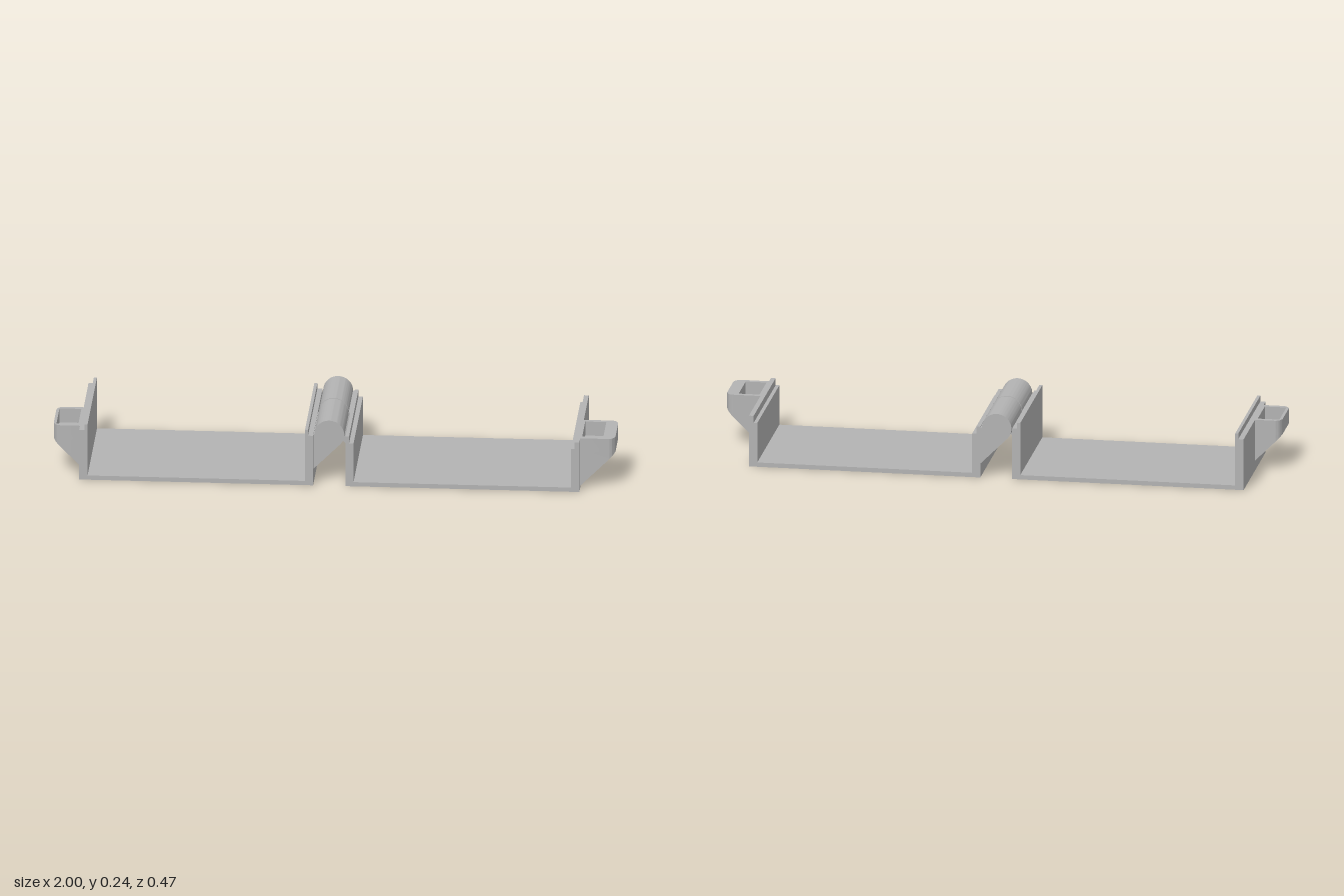
import * as THREE from 'three';
import { toCreasedNormals } from 'three/addons/utils/BufferGeometryUtils.js';

const grey = new THREE.MeshStandardMaterial({ color: 0xb3b3b3 });
grey.name = 'grey plastic';

const Z_BACK = -0.236, Z_FRONT = 0.238;
const shapeOf = (pts) => new THREE.Shape(pts.map(([x, y]) => new THREE.Vector2(x, y)));

function addMesh(parent, name, geometry) {
  const mesh = new THREE.Mesh(toCreasedNormals(geometry, 0.6), grey);
  mesh.name = name;
  parent.add(mesh);
}

// Extrude an x/y section between two z positions
function extrudeZ(shape, z0, z1) {
  const g = new THREE.ExtrudeGeometry(shape, { depth: z1 - z0, bevelEnabled: false, curveSegments: 24 });
  return g.translate(0, 0, z0);
}

// Extrude a plan (x, -z) upward; the underside follows bottom(x)
function extrudeUp(shape, bottom, top) {
  const g = new THREE.ExtrudeGeometry(shape, { depth: 1, bevelEnabled: false, curveSegments: 10 });
  g.rotateX(-Math.PI / 2);
  const p = g.attributes.position;
  for (let i = 0; i < p.count; i++) p.setY(i, p.getY(i) > 0.5 ? top : bottom(p.getX(i)));
  return g;
}

// Tray with two side walls; the rims are stepped at a and b
function traySection(x0, a0, i0, i1, a1, x1, outerTop, innerTop) {
  return shapeOf([
    [x0, 0], [x1, 0], [x1, outerTop], [a1, outerTop], [a1, innerTop], [i1, innerTop],
    [i1, 0.016], [i0, 0.016], [i0, innerTop], [a0, innerTop], [a0, outerTop], [x0, outerTop],
  ]);
}

// Barrel with a 45 degree web running down to the wall on the given side
const HX = -0.016, HY = 0.185, HR = 0.053;
function knuckleSection(side, wallX) {
  const k = HR * Math.SQRT1_2;
  const tangentX = HX - side * k, tangentY = HY - k;
  const s = new THREE.Shape();
  s.moveTo(wallX, HY);
  s.lineTo(HX + side * HR, HY);
  if (side < 0) s.absarc(HX, HY, HR, Math.PI, -Math.PI / 4, true);
  else s.absarc(HX, HY, HR, 0, Math.PI * 1.25, false);
  s.lineTo(wallX, tangentY - Math.abs(wallX - tangentX));
  s.closePath();
  return s;
}

// End lug: rounded plan, open pocket on top, sloped underside, screw hole
function addLug(parent, name, side, wallX, pocket, holeX) {
  const R = 0.025, zA = 0.01, zB = 0.196, end = side, FLOOR = 0.135;
  const plan = () => {
    const s = new THREE.Shape();
    s.moveTo(wallX, -zA);
    s.lineTo(end - side * R, -zA);
    s.quadraticCurveTo(end - side * R * 0.3, -zA - R * 0.0, end, -zA - R);
    s.lineTo(end, -zB + R);
    s.quadraticCurveTo(end - side * R * 0.3, -zB, end - side * R, -zB);
    s.lineTo(wallX, -zB);
    s.closePath();
    return s;
  };
  const rim = plan();
  const [p0, p1] = pocket;
  rim.holes.push(shapeOf([[p0, -0.027], [p0, -0.178], [p1, -0.178], [p1, -0.027]]));
  const base = plan();
  base.holes.push(new THREE.Path().absarc(holeX, -0.103, 0.015, 0, Math.PI * 2, true));

  const lug = new THREE.Group();
  lug.name = name;
  addMesh(lug, 'lugRim', extrudeUp(rim, () => FLOOR, 0.188));
  addMesh(lug, 'lugBase', extrudeUp(base, (x) => 0.132 - (1 - Math.abs(x)), FLOOR));
  parent.add(lug);
}

export function createModel() {
  const model = new THREE.Group();
  model.name = 'hingedCase';

  // Right half, with raised inner lips, front knuckle and lug
  const lipHalf = new THREE.Group();
  lipHalf.name = 'rightHalf';
  addMesh(lipHalf, 'lippedTray',
    extrudeZ(traySection(-0.905, -0.886, -0.875, -0.101, -0.09, -0.072, 0.188, 0.209), Z_BACK, Z_FRONT));
  addMesh(lipHalf, 'frontKnuckle', extrudeZ(knuckleSection(-1, -0.073), -0.008, 0.214));
  addLug(lipHalf, 'rightLug', -1, -0.904, [-0.99, -0.912], -0.952);

  // Left half, with rebated inner rims, back knuckle and lug
  const rebateHalf = new THREE.Group();
  rebateHalf.name = 'leftHalf';
  addMesh(rebateHalf, 'rebatedTray',
    extrudeZ(traySection(0.043, 0.056, 0.072, 0.846, 0.859, 0.876, 0.188, 0.162), Z_BACK, Z_FRONT));
  addMesh(rebateHalf, 'backKnuckle', extrudeZ(knuckleSection(1, 0.044), -0.235, -0.013));
  addLug(rebateHalf, 'leftLug', 1, 0.875, [0.882, 0.957], 0.92);

  // Small conical pivot between the knuckles
  const pivot = new THREE.CylinderGeometry(0.026, 0.033, 0.005, 32);
  pivot.rotateX(Math.PI / 2).translate(HX, HY, -0.0105);
  addMesh(rebateHalf, 'hingePivot', pivot);

  model.add(lipHalf, rebateHalf);
  return model;
}
